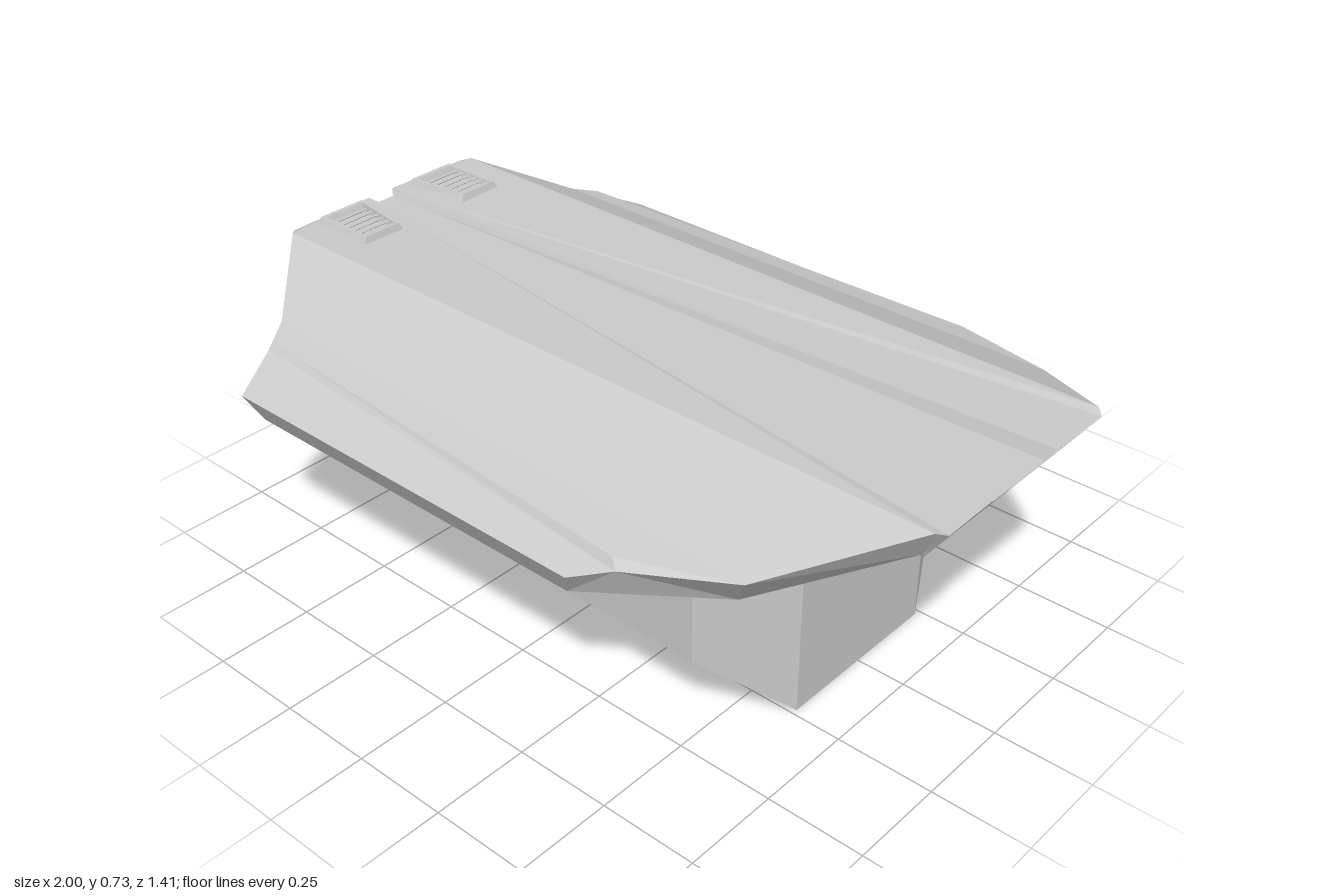
import * as THREE from 'three';

const material = new THREE.MeshStandardMaterial({ color: 0xcccccc, flatShading: true });

// Flat-faced mesh from polygons of named points; optionally mirrored across z = 0
function polyMesh(name, points, faces, mirror = true) {
  const out = [];
  const add = (ids, s) => {
    const ring = ids.filter((id, i) => id !== ids[(i + 1) % ids.length]);
    for (let i = 1; i + 1 < ring.length; i++) {
      const tri = s > 0 ? [0, i, i + 1] : [0, i + 1, i];
      for (const k of tri) {
        const [x, y, z] = points[ring[k]];
        out.push(x, y, z * s);
      }
    }
  };
  for (const f of faces) {
    add(f, 1);
    if (mirror) add(f, -1);
  }
  const g = new THREE.BufferGeometry();
  g.setAttribute('position', new THREE.Float32BufferAttribute(out, 3));
  g.computeVertexNormals();
  const mesh = new THREE.Mesh(g, material);
  mesh.name = name;
  return mesh;
}

// Quads joining two matching rows of points
function band(upper, lower) {
  const faces = [];
  for (let i = 0; i + 1 < upper.length; i++) faces.push([upper[i], lower[i], lower[i + 1], upper[i + 1]]);
  return faces;
}

// Top edge of the body, shared with the underside of the roof
const bodyTop = {
  q0: [-0.82, 0.58, 0], o0: [-0.82, 0.58, 0.235], o1: [-0.7, 0.455, 0.465],
  o2: [0.5, 0.455, 0.465], o3: [0.62, 0.58, 0.235], q1: [0.62, 0.58, 0],
};

function createRoof() {
  const p = {
    ...bodyTop,
    // tapered channel
    c0: [-0.99, 0.69, 0], f0: [-0.99, 0.69, 0.032], g0: [-1, 0.707, 0.04],
    c1: [0.98, 0.676, 0], f1: [0.98, 0.676, 0.1], g1: [1, 0.707, 0.11],
    // deck corners and ridge
    t0: [-1, 0.704, 0.29], r0: [-0.98, 0.71, 0.31], r1: [0.98, 0.71, 0.31], t7: [1, 0.704, 0.29],
    // eaves, with the raised strip along the slope
    t1: [-0.79, 0.607, 0.51], t2: [-0.75, 0.575, 0.585], t3: [-0.71, 0.515, 0.705],
    t4: [0.36, 0.515, 0.705], t5: [0.45, 0.545, 0.65], t6: [0.71, 0.588, 0.555],
    a: [-0.75, 0.59, 0.572], b: [0.43, 0.566, 0.637],
    // lower rim
    m0: [-0.94, 0.625, 0], b0: [-0.94, 0.625, 0.28], b1: [-0.74, 0.5, 0.51], b3: [-0.68, 0.445, 0.67],
    b4: [0.33, 0.445, 0.67], b6: [0.66, 0.5, 0.51], b7: [0.94, 0.625, 0.28], m1: [0.94, 0.625, 0],
  };
  const row = (s) => s.split(' ');
  const faces = [
    row('c0 f0 f1 c1'), row('f0 g0 g1 f1'), row('g0 t0 r0 r1 t7 g1'), row('r0 t1 t6 r1'),
    row('t1 a b t6'), row('a t2 t5 b'), row('t1 t2 a'), row('b t5 t6'), row('t2 t3 t4 t5'),
    ...band(row('c0 f0 g0 t0 r0 t1 t2 t3 t4 t5 t6 r1 t7 g1 f1 c1'),
      row('m0 m0 m0 b0 b0 b1 b1 b3 b4 b4 b6 b7 b7 m1 m1 m1')),
    ...band(row('m0 b0 b1 b3 b4 b6 b7 m1'), row('q0 o0 o1 o1 o2 o2 o3 q1')),
  ];
  return polyMesh('roof', p, faces);
}

function createBody() {
  const p = {
    ...bodyTop,
    e0: [-0.82, 0, 0], h0: [-0.82, 0, 0.235], w0: [-0.7, 0.22, 0.465],
    w1: [0.5, 0.22, 0.465], h1: [0.62, 0, 0.235], e1: [0.62, 0, 0],
  };
  return polyMesh('body', p, [
    ...band(['q0', 'o0', 'o1', 'o2', 'o3', 'q1'], ['e0', 'h0', 'w0', 'w1', 'h1', 'e1']),
    ['w0', 'h0', 'h1', 'w1'], ['h0', 'e0', 'e1', 'h1'],
  ]);
}

// Raised vent frame with tilted slats; side is +1 or -1 in z
function createVent(side) {
  const vent = new THREE.Group();
  vent.name = side > 0 ? 'frontVent' : 'rearVent';
  // x min, x max, inner z, outer z, height of each ring from the outside in
  const rings = [
    [-0.985, -0.79, 0.088, 0.235, 0.7], [-0.972, -0.798, 0.1, 0.222, 0.726],
    [-0.96, -0.8, 0.108, 0.214, 0.726], [-0.952, -0.806, 0.112, 0.21, 0.707],
  ];
  const p = {};
  rings.forEach(([x0, x1, z0, z1, y], r) => {
    const lean = 0.012; // the inner edge runs at a slight angle
    [[x0, z0 - lean], [x0, z1], [x1, z1], [x1, z0 + lean]].forEach(([x, z], c) => {
      p[`${r}${c}`] = [x, y, z * side];
    });
  });
  const faces = [];
  for (let r = 0; r < 3; r++) {
    for (let c = 0; c < 4; c++) {
      const d = (c + 1) % 4;
      const f = [`${r}${c}`, `${r}${d}`, `${r + 1}${d}`, `${r + 1}${c}`];
      faces.push(side > 0 ? f : f.reverse());
    }
  }
  vent.add(polyMesh('ventFrame', p, faces, false));
  for (let i = 0; i < 6; i++) {
    const slat = new THREE.Mesh(new THREE.BoxGeometry(0.022, 0.006, 0.108), material);
    slat.name = 'ventSlat';
    slat.position.set(-0.94 + i * 0.024, 0.715, side * 0.161);
    slat.rotation.z = 0.6;
    vent.add(slat);
  }
  return vent;
}

export function createModel() {
  const model = new THREE.Group();
  model.name = 'model';
  model.add(createBody(), createRoof(), createVent(1), createVent(-1));
  return model;
}
